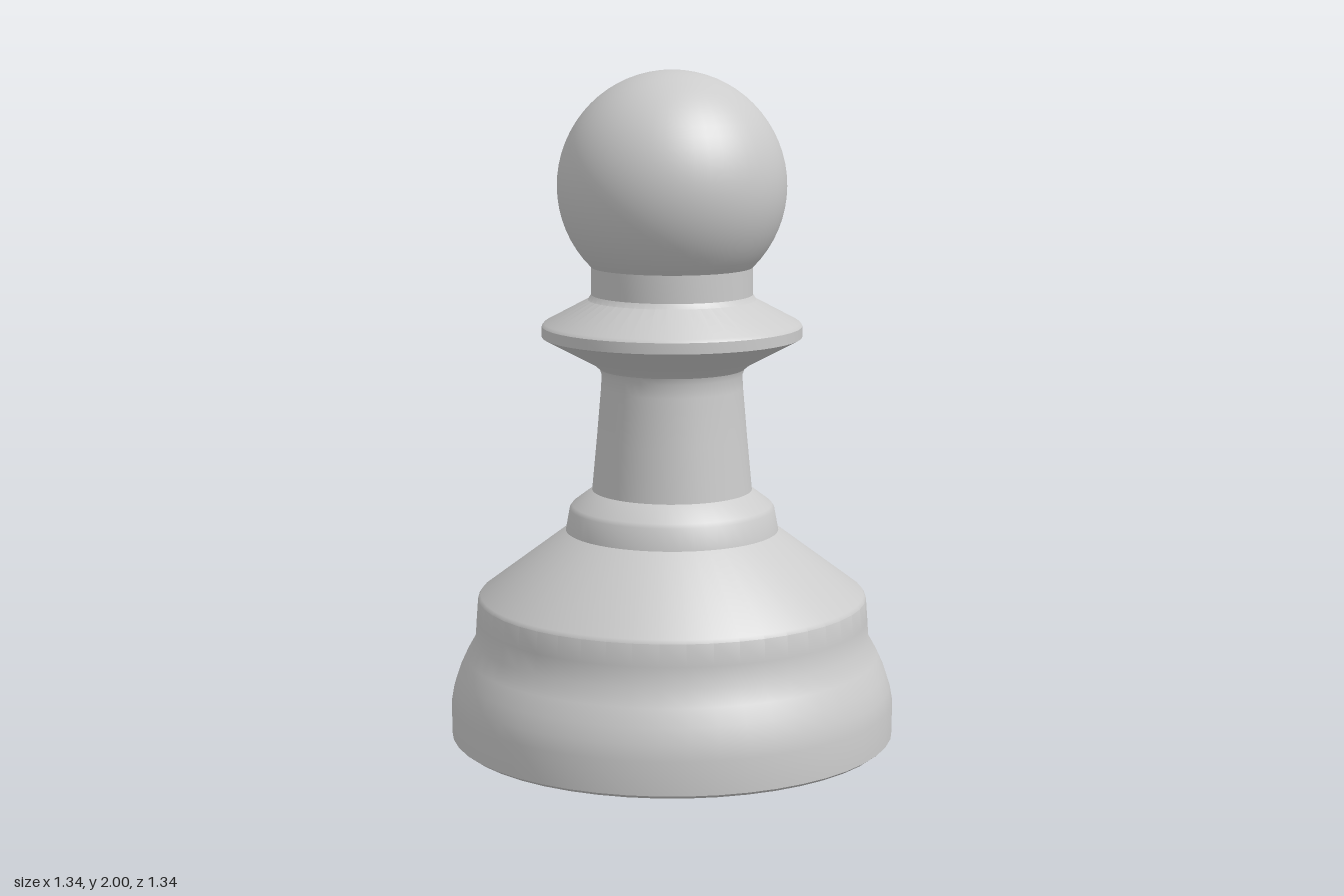
import * as THREE from 'three';
import { toCreasedNormals } from 'three/addons/utils/BufferGeometryUtils.js';

const SEGMENTS = 48;
const material = new THREE.MeshStandardMaterial({ color: 0xcccccc });

// Revolves a bottom-to-top [radius, height] profile, keeping strong edges sharp
function turned(name, profile) {
  const points = profile.map(([r, y]) => new THREE.Vector2(r, y));
  const geometry = toCreasedNormals(new THREE.LatheGeometry(points, SEGMENTS), 0.5);
  const mesh = new THREE.Mesh(geometry, material);
  mesh.name = name;
  return mesh;
}

export function createModel() {
  const group = new THREE.Group();
  group.name = 'pawn';

  // Rounded foot, upright band and sloping shoulder
  group.add(turned('base', [
    [0, 0], [0.655, 0], [0.668, 0.01], [0.668, 0.11], [0.66, 0.155], [0.645, 0.2],
    [0.622, 0.25], [0.594, 0.3], [0.59, 0.36], [0.585, 0.425], [0.578, 0.436], [0.32, 0.63],
  ]));

  // Small stepped ring under the stem
  group.add(turned('stemRing', [
    [0.32, 0.63], [0.308, 0.695], [0.3, 0.707], [0.24, 0.752],
  ]));

  // Tapered stem flaring into the underside of the collar
  group.add(turned('stem', [
    [0.24, 0.752], [0.225, 0.91], [0.212, 1.06], [0.21, 1.1], [0.216, 1.118],
    [0.235, 1.134], [0.387, 1.215],
  ]));

  // Flat-rimmed collar and short neck
  group.add(turned('collar', [
    [0.387, 1.215], [0.387, 1.247], [0.38, 1.256], [0.25, 1.325], [0.24, 1.34], [0.24, 1.425],
  ]));

  // Ball head
  const head = new THREE.Mesh(new THREE.SphereGeometry(0.339, SEGMENTS, 32), material);
  head.name = 'head';
  head.position.y = 1.661;
  group.add(head);

  return group;
}
